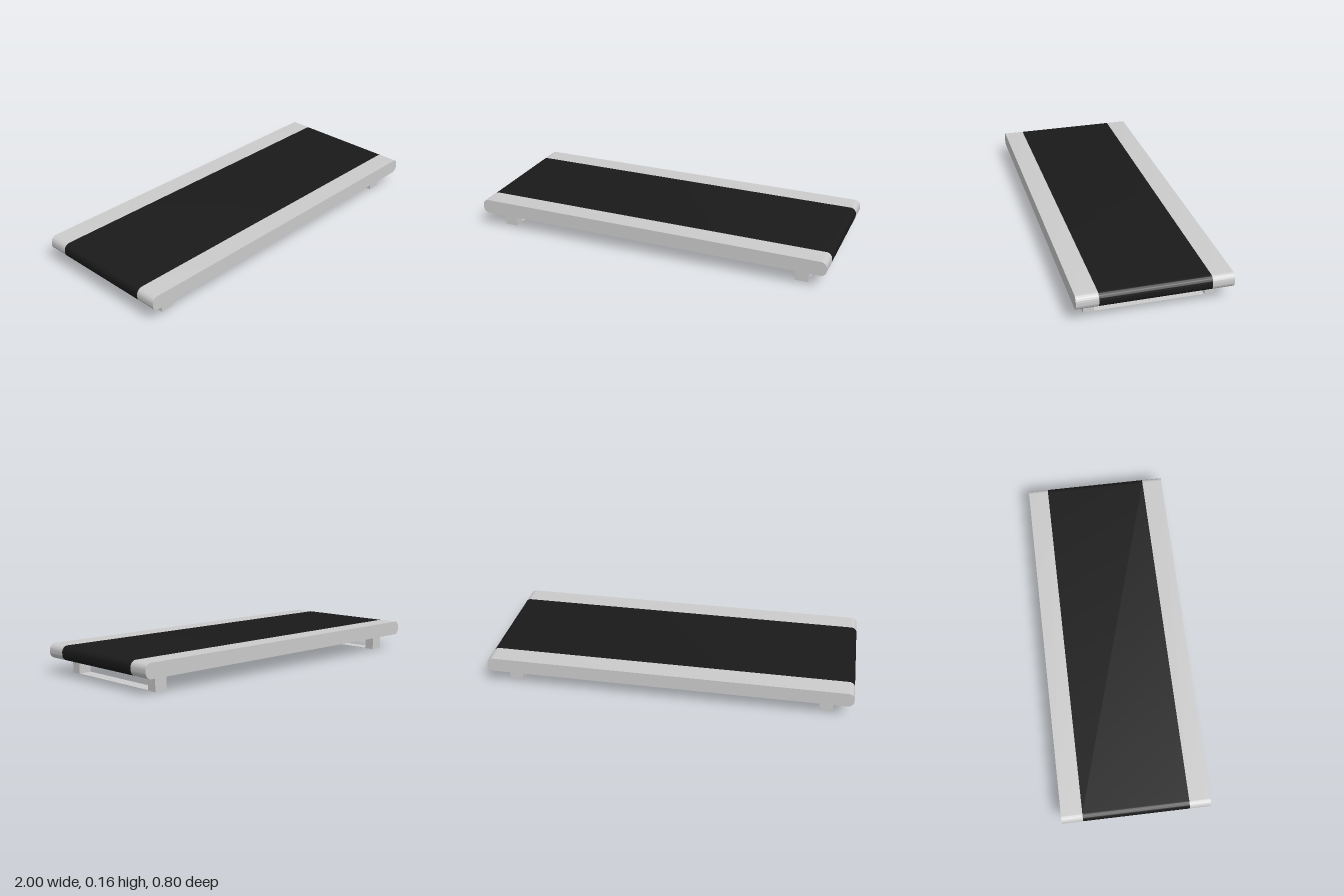
import * as THREE from 'three';
import { toCreasedNormals } from 'three/addons/utils/BufferGeometryUtils.js';

const BOTTOM = 0.083, TOP = 0.162, RADIUS = 0.033;
const BELT_Z = 0.286, RAIL_Z = 0.4;
const FOOT_X = 0.86, FOOT_W = 0.072, FOOT_Z = 0.342;

// Long slab with rounded ends, running along x and extruded between two z values
function slab(name, z0, z1, material) {
  const r = RADIUS, s = new THREE.Shape();
  s.moveTo(-1 + r, BOTTOM);
  s.lineTo(1 - r, BOTTOM);
  s.absarc(1 - r, BOTTOM + r, r, -Math.PI / 2, 0);
  s.absarc(1 - r, TOP - r, r, 0, Math.PI / 2);
  s.absarc(-1 + r, TOP - r, r, Math.PI / 2, Math.PI);
  s.absarc(-1 + r, BOTTOM + r, r, Math.PI, Math.PI * 1.5);
  const geo = new THREE.ExtrudeGeometry(s, { depth: z1 - z0, bevelEnabled: false, curveSegments: 10 });
  geo.translate(0, 0, z0);
  const mesh = new THREE.Mesh(toCreasedNormals(geo, 0.6), material);
  mesh.name = name;
  return mesh;
}

function box(name, w, h, d, x, y, z, material) {
  const mesh = new THREE.Mesh(new THREE.BoxGeometry(w, h, d), material);
  mesh.position.set(x, y, z);
  mesh.name = name;
  return mesh;
}

export function createModel() {
  const model = new THREE.Group();
  model.name = 'conveyorDeck';
  const grey = new THREE.MeshStandardMaterial({ color: 0xcccccc });
  const black = new THREE.MeshStandardMaterial({ color: 0x1a1a1a });

  // Belt between two side rails
  model.add(slab('belt', -BELT_Z, BELT_Z, black));
  model.add(slab('frontRail', BELT_Z, RAIL_Z, grey));
  model.add(slab('backRail', -RAIL_Z, -BELT_Z, grey));

  // A pair of feet at each end, joined by a thin strip on the ground
  for (const side of [1, -1]) {
    const stand = new THREE.Group();
    stand.name = side > 0 ? 'leftStand' : 'rightStand';
    for (const end of [1, -1]) {
      stand.add(box(end > 0 ? 'frontFoot' : 'backFoot', FOOT_W, BOTTOM, FOOT_Z - BELT_Z,
        side * FOOT_X, BOTTOM / 2, end * (FOOT_Z + BELT_Z) / 2, grey));
    }
    stand.add(box('groundStrip', FOOT_W, 0.002, BELT_Z * 2, side * FOOT_X, 0.001, 0, grey));
    model.add(stand);
  }
  return model;
}
